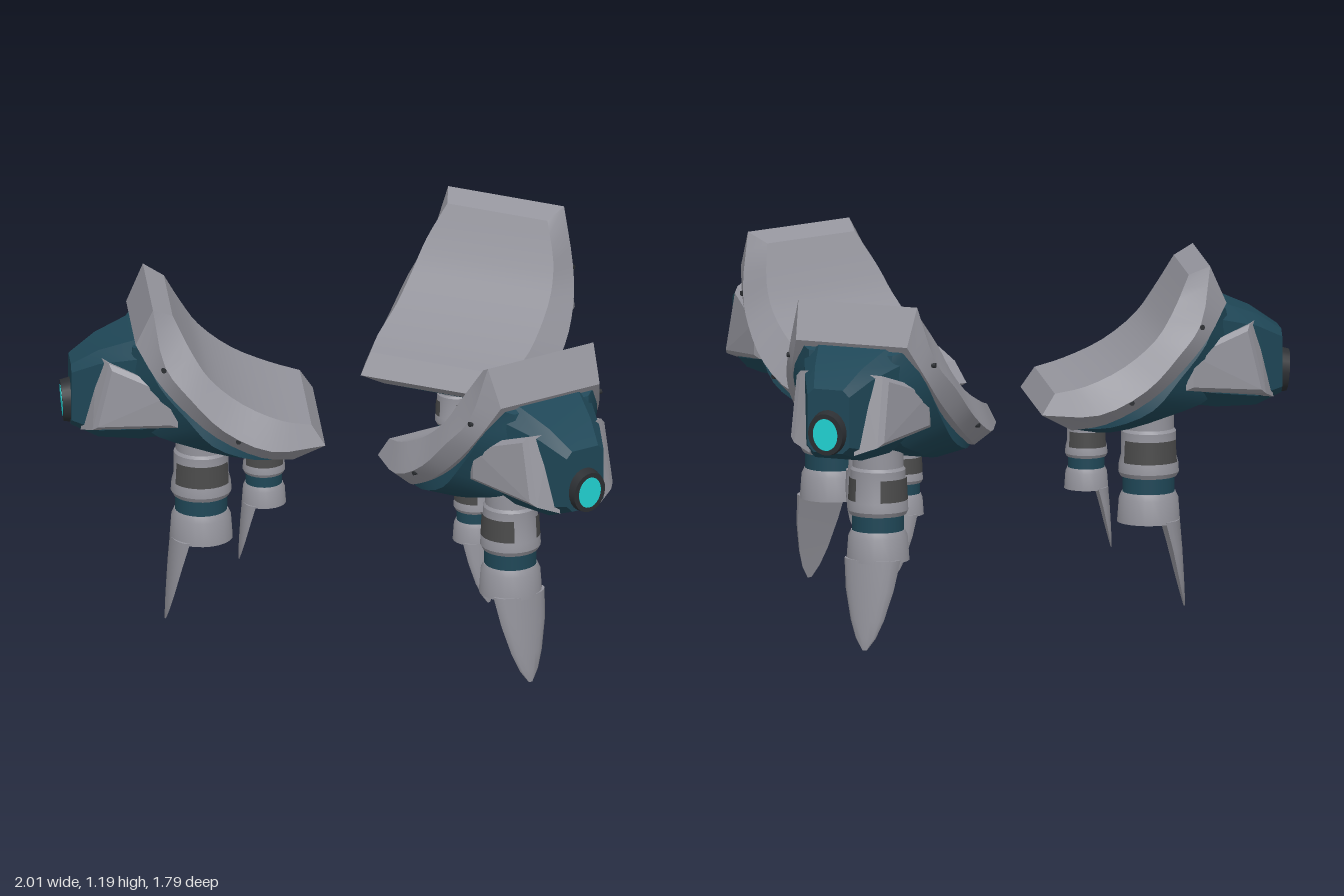
import * as THREE from 'three';
import { toCreasedNormals } from 'three/addons/utils/BufferGeometryUtils.js';
import { ConvexGeometry } from 'three/addons/geometries/ConvexGeometry.js';

const material = (name, color) => {
  const m = new THREE.MeshStandardMaterial({ color });
  m.name = name;
  return m;
};

const V = (x, y, z) => new THREE.Vector3(x, y, z);

function add(parent, name, geometry, mat) {
  const mesh = new THREE.Mesh(geometry, mat);
  mesh.name = name;
  parent.add(mesh);
  return mesh;
}

// Closed skin over equal-sized rings whose points j and n-1-j mirror each other in x.
// The caps join mirrored pairs; faces always point outwards.
function loft(rings, crease = 0.5) {
  const n = rings[0].length, pts = rings.flat(), tris = [];
  for (let i = 0; i < rings.length - 1; i++) {
    for (let j = 0; j < n; j++) {
      const a = i * n + j, b = i * n + (j + 1) % n;
      tris.push([a, b, b + n], [a, b + n, a + n]);
    }
  }
  const last = (rings.length - 1) * n;
  for (let j = 0; j < n / 2 - 1; j++) {
    const k = n - 1 - j;
    tris.push([j, k, j + 1], [last + j, last + j + 1, last + k]);
    if (k - 1 > j + 1) tris.push([j + 1, k, k - 1], [last + j + 1, last + k - 1, last + k]);
  }
  let volume = 0;
  for (const [a, b, c] of tris) volume += pts[a].dot(V().crossVectors(pts[b], pts[c]));
  if (volume < 0) tris.forEach(t => t.reverse());
  const geometry = new THREE.BufferGeometry().setFromPoints(pts);
  geometry.setIndex(tris.flat());
  return toCreasedNormals(geometry, crease);
}

// Curved slab. Each station: inner z, y, half width; rim z, y, half width; outer z, y, half width.
function slab(stations, steps) {
  const curves = [0, 3, 6].map(k => new THREE.CatmullRomCurve3(
    stations.map(s => V(s[k + 2], s[k + 1], s[k])), false, 'centripetal'));
  const rings = [];
  for (let i = 0; i <= steps; i++) {
    const [p, m, o] = curves.map(c => c.getPoint(i / steps));
    const mirror = v => V(-v.x, v.y, v.z);
    rings.push([p, m, o, mirror(o), mirror(m), mirror(p)]);
  }
  return loft(rings);
}

const shellStations = [
  [0.52, 1.155, 0.185, 0.588, 1.188, 0.214, 0.645, 1.06, 0.2],
  [0.46, 1.04, 0.235, 0.55, 1.0, 0.265, 0.58, 0.95, 0.24],
  [0.40, 0.95, 0.255, 0.47, 0.90, 0.305, 0.50, 0.855, 0.26],
  [0.29, 0.86, 0.265, 0.36, 0.79, 0.325, 0.38, 0.75, 0.28],
  [0.16, 0.80, 0.27, 0.20, 0.71, 0.32, 0.23, 0.67, 0.27],
  [0.06, 0.775, 0.25, 0.015, 0.705, 0.265, 0.12, 0.645, 0.23],
];
const skirtStations = [
  [0.57, 1.04, 0.17, 0.625, 1.045, 0.19, 0.65, 1.03, 0.15],
  [0.54, 0.95, 0.22, 0.57, 0.925, 0.24, 0.67, 0.89, 0.14],
  [0.46, 0.86, 0.23, 0.48, 0.81, 0.25, 0.61, 0.74, 0.15],
  [0.36, 0.76, 0.25, 0.39, 0.71, 0.26, 0.45, 0.67, 0.16],
  [0.23, 0.69, 0.25, 0.25, 0.655, 0.25, 0.26, 0.62, 0.15],
  [0.14, 0.66, 0.22, 0.13, 0.65, 0.22, 0.14, 0.635, 0.16],
];

// Octagonal snout, narrowing towards the lamp: z, bottom, top, half width.
function snoutGeometry() {
  const sections = [
    [0.50, 0.71, 0.92, 0.18], [0.62, 0.695, 1.055, 0.18],
    [0.76, 0.69, 1.0, 0.12], [0.85, 0.725, 0.94, 0.075],
  ];
  return loft(sections.map(([z, lo, hi, w]) => {
    const c = w * 0.3, half = [[w - c, lo], [w, lo + c], [w, hi - c], [w - c, hi]];
    const left = half.map(([x, y]) => V(x, y, z));
    return [...left, ...left.map(p => V(-p.x, p.y, p.z)).reverse()];
  }), 0.4);
}

// Bevelled cheek panel on one side of the snout.
function panelGeometry(side) {
  const outer = [[0.228, 0.895, 0.505], [0.148, 0.975, 0.73], [0.15, 0.74, 0.785], [0.228, 0.77, 0.505]];
  const inner = [[0.1, 0.89, 0.5], [0.085, 0.985, 0.765], [0.08, 0.715, 0.82], [0.1, 0.76, 0.5]];
  const centre = V(0.19, 0.845, 0.63), points = inner.map(p => V(...p));
  for (const p of outer) {
    const rim = V(...p);
    points.push(rim, rim.clone().lerp(centre, 0.15).add(V(0.012, 0, 0.006)));
  }
  return new ConvexGeometry(points.map(p => V(p.x * side, p.y, p.z)));
}

function lathe(profile) {
  const geometry = new THREE.LatheGeometry(profile.map(p => new THREE.Vector2(...p)), 24);
  return toCreasedNormals(geometry, 0.5);
}

// Leg standing on y = 0 with its claw towards +z.
function createLeg(name, mats) {
  const leg = new THREE.Group();
  leg.name = name;
  add(leg, 'legSleeve', lathe([[0, 0.445], [0.094, 0.445], [0.102, 0.46], [0.1, 0.49], [0.092, 0.52],
    [0.092, 0.597], [0.085, 0.607], [0.085, 0.72], [0, 0.72]]), mats.grey);
  add(leg, 'ankleBand', new THREE.CylinderGeometry(0.088, 0.088, 0.08, 24).translate(0, 0.42, 0), mats.teal);
  add(leg, 'footCuff', lathe([[0, 0.29], [0.106, 0.29], [0.1, 0.37], [0.09, 0.392], [0, 0.392]]), mats.grey);
  // dark side pads
  for (const side of [1, -1]) {
    const start = side * Math.PI / 2 - 1.1;
    const pad = new THREE.CylinderGeometry(0.096, 0.1, 0.075, 12, 1, true, start, 2.2);
    add(leg, 'sidePad', pad.translate(0, 0.533, 0), mats.padDark);
  }
  // claw: curved front, flat back, tapering to the tip
  const rings = [[0.3, 0.1, 0.104, 0.045], [0.2, 0.086, 0.112, 0.072], [0.1, 0.06, 0.118, 0.095],
    [0.04, 0.036, 0.121, 0.109], [0, 0.008, 0.122, 0.118]].map(([y, w, front, back]) => {
    const ring = [];
    for (let i = 0; i <= 10; i++) {
      const t = (i / 10 - 0.5) * Math.PI;
      ring.push(V(w * Math.sin(t), y, back + (front - back) * Math.cos(t)));
    }
    return ring;
  });
  add(leg, 'claw', loft(rings, 0.7), mats.grey);
  return leg;
}

function createUnit(mats) {
  const unit = new THREE.Group();
  unit.name = 'supportUnit';
  add(unit, 'cradleShell', slab(shellStations, 15), mats.grey);
  add(unit, 'bodySkirt', slab(skirtStations, 15), mats.teal);
  add(unit, 'snout', snoutGeometry(), mats.teal);

  for (const side of [1, -1]) {
    add(unit, 'cheekPanel', panelGeometry(side), mats.grey);
    // small pins on the shell rim
    for (const [x, y, z] of [[0.252, 0.99, 0.555], [0.31, 0.75, 0.31]]) {
      const pin = add(unit, 'rimPin', new THREE.CylinderGeometry(0.009, 0.009, 0.03, 8).rotateZ(Math.PI / 2), mats.dark);
      pin.position.set(side * x, y, z);
    }
  }

  // lamp at the end of the snout, with the lens flush in its housing
  const lamp = new THREE.Group();
  lamp.name = 'lamp';
  const housing = new THREE.CylinderGeometry(0.062, 0.07, 0.05, 24).rotateX(Math.PI / 2);
  add(lamp, 'lampHousing', housing.scale(1, 1.15, 1), mats.dark);
  const lens = new THREE.CylinderGeometry(0.044, 0.044, 0.006, 24).rotateX(Math.PI / 2);
  add(lamp, 'lampLens', lens.scale(1, 1.25, 1).translate(0, 0, 0.0235), mats.cyan);
  lamp.position.set(0, 0.793, 0.852);
  lamp.rotation.x = 0.08;
  unit.add(lamp);

  // large outer leg and smaller inner leg
  const outerLeg = createLeg('outerLeg', mats);
  outerLeg.position.set(0, 0, 0.41);
  const innerLeg = createLeg('innerLeg', mats);
  innerLeg.scale.setScalar(0.7);
  innerLeg.position.set(0, 0.205, 0.2);
  unit.add(outerLeg, innerLeg);
  return unit;
}

export function createModel() {
  const mats = {
    grey: material('grey armour', 0x94949c),
    teal: material('dark teal', 0x1f4757),
    dark: material('charcoal', 0x2c2f33),
    padDark: material('dark grey', 0x4a4a4a),
    cyan: material('cyan glow', 0x22dada),
  };
  const model = new THREE.Group();
  model.name = 'cradleStand';
  // three units spaced evenly around a shared centre
  const centreZ = -0.25;
  for (let i = 0; i < 3; i++) {
    const pivot = new THREE.Group();
    pivot.name = 'unitPivot';
    const unit = createUnit(mats);
    unit.position.z = -centreZ;
    pivot.add(unit);
    pivot.position.z = centreZ;
    pivot.rotation.y = i * Math.PI * 2 / 3;
    model.add(pivot);
  }
  return model;
}
